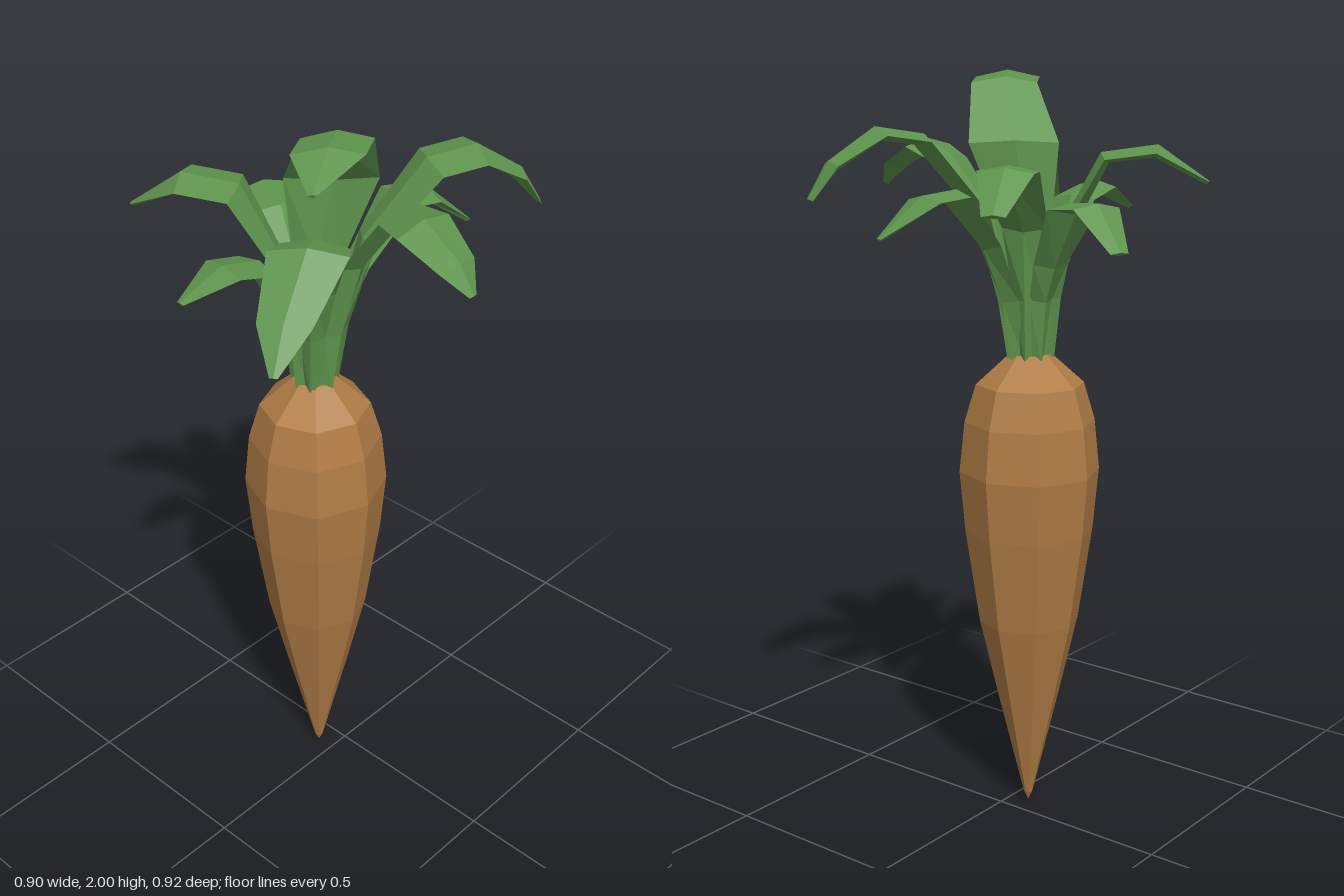
import * as THREE from 'three';

const CX = -0.05, CZ = 0.06; // axis of the root

// Each leaf: ridge-line stations [x, y, z, halfWidth] from shoulder to tip
const LEAVES = {
  backRightLeaf: [[0.02, 1.66, -0.04, 0.06], [0.1, 1.85, -0.18, 0.09], [0.165, 1.87, -0.29, 0.09], [0.22, 1.79, -0.4, 0.06], [0.248, 1.7, -0.445, 0.03]],
  backLeaf: [[-0.02, 1.58, -0.06, 0.05], [-0.01, 1.72, -0.19, 0.075], [0.015, 1.71, -0.29, 0.07], [0.075, 1.61, -0.385, 0.01]],
  backLeftLeaf: [[-0.08, 1.62, 0, 0.06], [-0.125, 1.78, -0.13, 0.08], [-0.175, 1.78, -0.21, 0.07], [-0.225, 1.68, -0.32, 0.03]],
  sideLowLeaf: [[-0.13, 1.53, 0.03, 0.05], [-0.22, 1.685, 0, 0.075], [-0.34, 1.695, -0.06, 0.065], [-0.445, 1.59, -0.115, 0.025]],
  sideHighLeaf: [[0.04, 1.63, 0.02, 0.055], [0.15, 1.79, -0.015, 0.075], [0.28, 1.825, 0.04, 0.09], [0.405, 1.765, 0.06, 0.06], [0.45, 1.7, 0.063, 0.012]],
  frontRightLeaf: [[-0.12, 1.63, 0.11, 0.055], [-0.2, 1.8, 0.155, 0.085], [-0.32, 1.82, 0.235, 0.085], [-0.43, 1.73, 0.305, 0.01]],
  frontLeaf: [[-0.06, 1.52, 0.14, 0.05], [-0.05, 1.68, 0.24, 0.07], [-0.055, 1.71, 0.355, 0.065], [-0.09, 1.64, 0.46, 0.012]],
  frontLeftLeaf: [[0.01, 1.58, 0.12, 0.055], [0.085, 1.765, 0.19, 0.085], [0.145, 1.795, 0.28, 0.095], [0.18, 1.66, 0.395, 0.065], [0.212, 1.565, 0.462, 0.01]],
  crownLeaf: [[-0.065, 1.6, 0.03, 0.06], [-0.045, 1.83, 0, 0.115], [0.05, 1.985, 0.08, 0.085], [0.125, 2, 0.19, 0.085], [0.187, 1.945, 0.305, 0.01]],
};

// Sweep a four-cornered section (right, ridge, left, keel) along a leaf
function leafGeometry(stations) {
  const tip = stations[stations.length - 1];
  const heading = new THREE.Vector3(tip[0] - CX, 0, tip[2] - CZ).normalize();
  const side = heading.clone().cross(new THREE.Vector3(0, 1, 0));
  const bx = CX + heading.x * 0.028, bz = CZ + heading.z * 0.028;
  const first = stations[0];
  const rows = [
    [bx, 1.26, bz, 0.022],
    [bx + (first[0] - bx) * 0.3, 1.43, bz + (first[2] - bz) * 0.3, 0.034],
    ...stations,
  ];
  const centres = rows.map(r => new THREE.Vector3(r[0], r[1], r[2]));
  const positions = [], index = [];
  rows.forEach(([, , , w], i) => {
    const tangent = centres[Math.min(i + 1, rows.length - 1)].clone()
      .sub(centres[Math.max(i - 1, 0)]).normalize();
    const up = side.clone().cross(tangent).normalize();
    const keel = i === rows.length - 1 ? 0.012 : 0.034;
    for (const [s, u] of [[w, -0.22 * w], [0, 0], [-w, -0.22 * w], [0, -keel]]) {
      positions.push(...centres[i].clone().addScaledVector(side, s).addScaledVector(up, u).toArray());
    }
    if (i === 0) return;
    for (let k = 0; k < 4; k++) {
      const n = (k + 1) % 4, a = (i - 1) * 4, b = i * 4;
      index.push(a + k, b + k, b + n, a + k, b + n, a + n);
    }
  });
  // Close the tip
  const e = (rows.length - 1) * 4;
  index.push(e, e + 3, e + 2, e, e + 2, e + 1);
  const geometry = new THREE.BufferGeometry();
  geometry.setAttribute('position', new THREE.Float32BufferAttribute(positions, 3));
  geometry.setIndex(index);
  geometry.computeVertexNormals();
  return geometry;
}

export function createModel() {
  const model = new THREE.Group();
  model.name = 'rootVegetable';
  const rootMaterial = new THREE.MeshStandardMaterial({ color: 0xb07c45, flatShading: true });
  const leafMaterial = new THREE.MeshStandardMaterial({ color: 0x5e944d, flatShading: true, side: THREE.DoubleSide });

  // Eight-sided tapering root
  const profile = [[0, 0.005], [0.012, 0.03], [0.085, 0.33], [0.135, 0.545], [0.173, 0.8],
    [0.188, 0.965], [0.174, 1.1], [0.144, 1.2], [0.055, 1.28], [0, 1.28]];
  const root = new THREE.Mesh(
    new THREE.LatheGeometry(profile.map(([r, y]) => new THREE.Vector2(r, y)), 8), rootMaterial);
  root.position.set(CX, 0, CZ);
  root.name = 'root';
  model.add(root);

  // Arching leaves with their stems
  const leaves = new THREE.Group();
  leaves.name = 'leaves';
  for (const [name, stations] of Object.entries(LEAVES)) {
    const leaf = new THREE.Mesh(leafGeometry(stations), leafMaterial);
    leaf.name = name;
    leaves.add(leaf);
  }
  model.add(leaves);
  return model;
}
